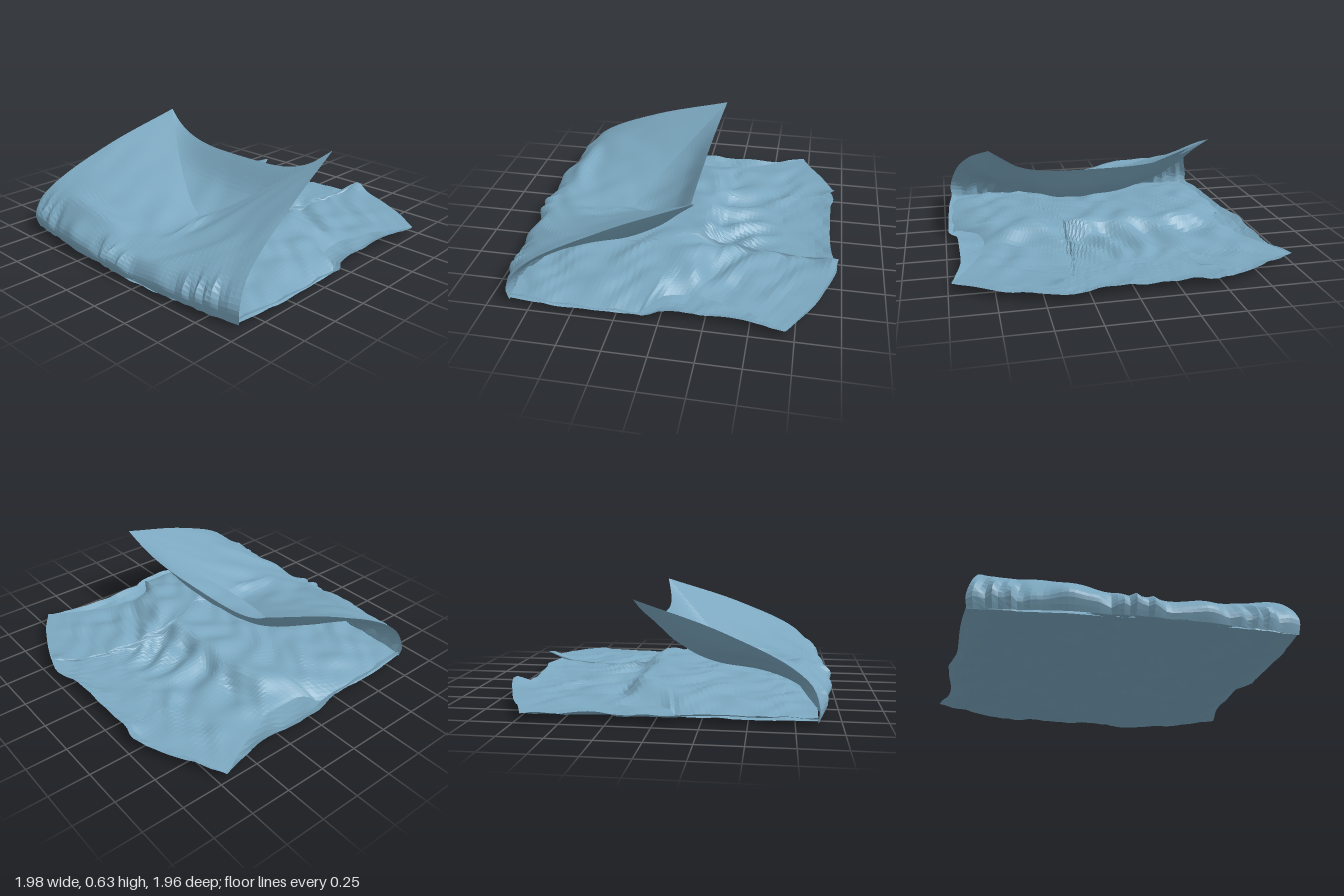
import * as THREE from 'three';

const material = new THREE.MeshStandardMaterial({ color: 0x7ba7bf, flatShading: true, side: THREE.DoubleSide });
const lerp = THREE.MathUtils.lerp;
const bump = (x, z, cx, cz, rx, rz) => Math.exp(-(((x - cx) / rx) ** 2) - ((z - cz) / rz) ** 2);

// Smooth function through [key, value] pairs (slopes limited so it does not overshoot)
function through(...p) {
  const d = p.slice(1).map((b, i) => (b[1] - p[i][1]) / (b[0] - p[i][0]));
  const m = p.map((_, i) => {
    if (i === 0) return d[0];
    if (i === p.length - 1) return d[i - 1];
    return d[i - 1] * d[i] <= 0 ? 0 : 2 * d[i - 1] * d[i] / (d[i - 1] + d[i]);
  });
  return t => {
    t = THREE.MathUtils.clamp(t, p[0][0], p[p.length - 1][0]);
    let i = 0;
    while (i < p.length - 2 && t > p[i + 1][0]) i++;
    const h = p[i + 1][0] - p[i][0], s = (t - p[i][0]) / h, s2 = s * s, s3 = s2 * s;
    return (2 * s3 - 3 * s2 + 1) * p[i][1] + (s3 - 2 * s2 + s) * h * m[i]
      + (3 * s2 - 2 * s3) * p[i + 1][1] + (s3 - s2) * h * m[i + 1];
  };
}

// Path of [t, x, y, z] points
function path(...p) {
  const f = [1, 2, 3].map(k => through(...p.map(q => [q[0], q[k]])));
  return t => f.map(g => g(t));
}

// Cloth sheet: fn(u, v) gives a point, u from -1 to 1 across, v from 0 to 1 along
function sheet(name, nu, nv, fn) {
  const geometry = new THREE.PlaneGeometry(2, 1, nu, nv);
  const pos = geometry.attributes.position;
  for (let i = 0; i < pos.count; i++) {
    const [x, y, z] = fn(pos.getX(i), 0.5 - pos.getY(i));
    pos.setXYZ(i, x, Math.max(0, y), z);
  }
  geometry.computeVertexNormals();
  const mesh = new THREE.Mesh(geometry, material);
  mesh.name = name;
  return mesh;
}

// Irregular crumple, about -1 to 1
const crumple = (x, z) => (Math.sin(9 * x + 4 * Math.sin(5 * z + 1)) + Math.sin(13 * z + 3 * Math.sin(7 * x))
  + 0.7 * Math.sin(23 * x - 17 * z + 2 * Math.sin(11 * z))) / 2.7;

// Garment outline
const shoulders = through([-1, -0.71], [-0.85, -0.77], [-0.65, -0.87], [-0.43, -0.94], [-0.34, -0.92], [0, -0.92],
  [0.2, -0.93], [0.365, -0.97], [0.5, -0.94], [0.8, -0.82], [1, -0.7]);
const neckline = through([-1, -0.71], [-0.85, -0.77], [-0.65, -0.87], [-0.43, -0.94], [-0.38, -0.83], [-0.3, -0.72],
  [-0.2, -0.64], [-0.1, -0.61], [0, -0.62], [0.15, -0.63], [0.25, -0.69], [0.33, -0.78], [0.38, -0.97],
  [0.5, -0.94], [0.8, -0.82], [1, -0.7]);
const foldLine = through([-1, 0.87], [-0.4, 0.89], [0, 0.94], [0.25, 0.95], [0.6, 0.91], [1, 0.88]);
const outerLeft = through([0, 0.98], [0.2, 0.92], [0.44, 0.93], [0.5, 0.98], [0.8, 0.97], [1, 0.94]);
const outerRight = through([0, -1], [0.2, -0.925], [0.44, -0.94], [0.6, -0.89], [0.8, -0.88], [1, -0.85]);
const armLeft = through([0, 0.98], [0.2, 0.82], [0.36, 0.77], [0.44, 0.8], [0.52, 0.96], [0.8, 0.97], [1, 0.94]);
const armRight = through([0, -1], [0.19, -0.85], [0.36, -0.77], [0.45, -0.77], [0.55, -0.87], [0.8, -0.88], [1, -0.85]);

// Under panel, flat on the floor with slightly lifted edges
function underPanel(u, v) {
  const x = lerp(outerRight(v), outerLeft(v), (u + 1) / 2);
  const z = lerp(shoulders(u), foldLine(u), v);
  const lift = 0.04 * Math.max(Math.abs(u) ** 14, (1 - v) ** 14);
  return [x, 0.016 + lift + 0.009 * crumple(x * 1.6, z * 1.6), z];
}

// Upper panel, crumpled into gathers below the neck
const loft = through([-1, 0.1], [-0.8, 0.085], [-0.6, 0.075], [-0.25, 0.085], [-0.13, 0.15], [0.05, 0.14], [0.35, 0.11], [0.9, 0.04]);
function upperPanel(u, v) {
  const x = lerp(armRight(v), armLeft(v), (u + 1) / 2);
  const z = lerp(neckline(u), foldLine(u), v);
  const side = Math.abs(u) ** 6;
  const angle = Math.atan2(x, z + 0.95);
  const gathers = 0.028 * Math.sin(angle * 19 + 2 * Math.sin(z * 9)) * bump(x, z, 0, -0.33, 0.6, 0.2);
  const wrinkles = 0.018 * crumple(x * 1.3, z * 1.3) * (1 - 0.5 * side) * Math.min(1, v * 6 + 0.15);
  const tips = 0.04 * (bump(x, z, 0.38, -0.95, 0.07, 0.08) + bump(x, z, -0.42, -0.93, 0.07, 0.08));
  const y = lerp(loft(z), v > 0.5 ? 0.035 : 0.06, side) + gathers + wrinkles + tips;
  return [x, Math.max(y, 0.035), z];
}

// Lifted hem: front and back layers share side seams that rise to two peaks
const seamRight = path([0, -0.85, 0.02, 0.87], [0.07, -0.86, 0.09, 0.89], [0.22, -0.82, 0.24, 0.81],
  [0.6, -0.74, 0.47, 0.37], [1, -0.655, 0.64, -0.155]);
const seamLeft = path([0, 0.94, 0.02, 0.88], [0.07, 0.95, 0.09, 0.89], [0.22, 0.92, 0.23, 0.81],
  [0.6, 0.83, 0.46, 0.37], [1, 0.72, 0.64, -0.155]);
const frontSag = path([0, 0, 0.02, 0.95], [0.07, 0, 0.08, 0.975], [0.22, 0, 0.16, 0.9], [0.6, 0, 0.19, 0.62], [1, 0, 0.2, 0.34]);
const backSag = path([0, 0, 0.02, 0.92], [0.3, 0, 0.13, 0.6], [0.6, 0, 0.185, 0.26], [0.8, 0, 0.29, 0.06], [1, 0, 0.47, -0.09]);

function hemLayer(sagPath, power) {
  return (u, v) => {
    const a = seamRight(v), b = seamLeft(v), c = sagPath(v);
    const s = u < 0.12 ? (0.12 - u) / 1.12 : (u - 0.12) / 0.88;
    const w = s ** power(v);
    const seam = u < 0.12 ? a : b;
    const x = lerp(a[0], b[0], (u + 1) / 2);
    const free = Math.sin(Math.PI * v) * (1 - s ** 8);
    const folds = 0.014 * crumple(x * 1.2, v * 0.9) * free;
    const rolls = (0.012 * Math.sin(31 * x + 5 * Math.sin(9 * x)) + 0.01 * Math.sin(17 * x + 1)) * Math.exp(-(((v - 0.1) / 0.1) ** 2));
    return [x, lerp(c[1], seam[1], w) + folds + rolls * Math.min(1, v * 20), lerp(c[2], seam[2], w) + rolls];
  };
}
const frontLayer = hemLayer(frontSag, v => lerp(1.9, 1.25, v));
const backLayer = hemLayer(backSag, v => lerp(1.7, 3.6, v ** 2));

export function createModel() {
  const group = new THREE.Group();
  group.name = 'crumpledSleevelessShirt';
  group.add(
    sheet('underPanel', 44, 40, underPanel),
    sheet('upperPanel', 72, 56, upperPanel),
    sheet('hemFrontLayer', 56, 36, (u, v) => {
      const p = frontLayer(u, v);
      // small tucked ridges near the fold
      p[1] += 0.05 * bump(p[0], p[2], -0.35, 0.8, 0.24, 0.07) + 0.03 * bump(p[0], p[2], 0.21, 0.5, 0.035, 0.15);
      return p;
    }),
    sheet('hemBackLayer', 48, 32, backLayer),
  );
  return group;
}
